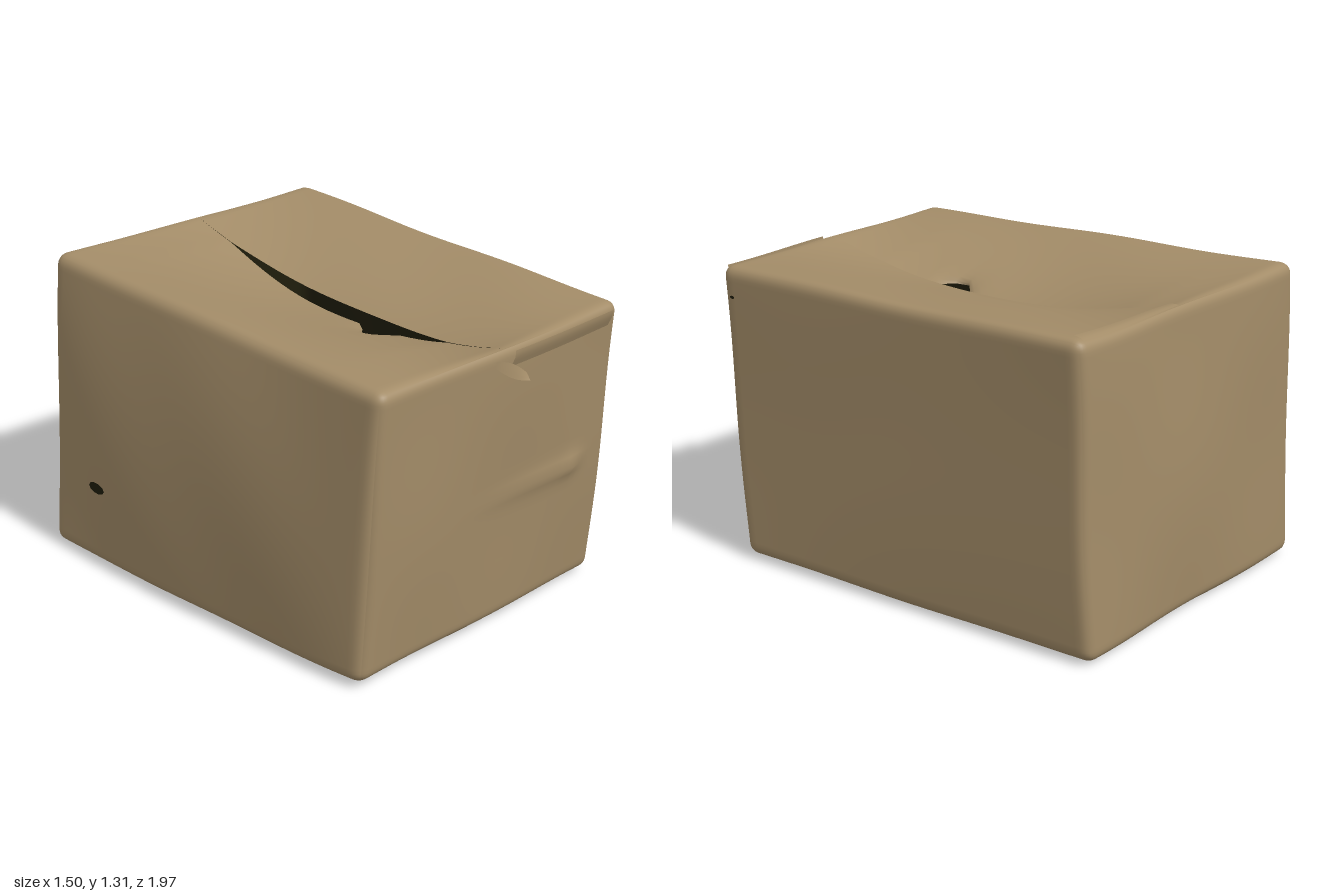
import * as THREE from 'three';
import { mergeVertices } from 'three/addons/utils/BufferGeometryUtils.js';

const N = 48, R = 0.05;
const DIM = [0.7, 0.64, 0.93];
const LEFT = -1, RIGHT = 1;

// Eight box corners, indexed by x + 2y + 4z
const CORNERS = [
  [-0.712, 0.022, -0.99], [0.72, 0.022, -0.93], [-0.625, 1.328, -1.0], [0.757, 1.32, -0.885],
  [-0.7, 0.035, 0.835], [0.703, 0.028, 0.85], [-0.665, 1.265, 0.895], [0.672, 1.28, 0.96],
];

const bell = (v, c, w) => Math.exp(-(((v - c) / w) ** 2));
const ramp = THREE.MathUtils.smoothstep;

// Maps a point of the cube [-1,1]^3 onto the rounded, crumpled carton
function surf(p, face = '', side = RIGHT) {
  const [X, Y, Z] = p;
  const q = p.map((v, i) => THREE.MathUtils.clamp(v * DIM[i], R - DIM[i], DIM[i] - R));
  const d = p.map((v, i) => v * DIM[i] - q[i]);
  const len = Math.hypot(...d) || 1;
  const t = q.map((v, i) => (v + (d[i] / len) * R) / DIM[i]);
  const o = new THREE.Vector3();
  CORNERS.forEach((c, k) => {
    let w = 1;
    for (let i = 0; i < 3; i++) w *= (1 + ((k >> i) & 1 ? t[i] : -t[i])) / 2;
    o.x += c[0] * w; o.y += c[1] * w; o.z += c[2] * w;
  });
  const a = 1 - X * X, b = 1 - Y * Y, c = 1 - Z * Z, mid = 1 - Math.abs(X);

  // Bulging walls and soft crumples
  o.x += X < 0 ? 0.042 * X * c ** 0.7 * (b + 0.35 * (1 - Y)) : 0.01 * X * b * c;
  o.z += a * b * (Z > 0 ? 0.012 : -0.02);
  o.x += 0.005 * Math.sin(5 * o.y + 4 * o.z) * Math.sin(3 * o.z + 1);
  o.y += 0.005 * Math.sin(7 * o.x + 2 * o.z) * Math.sin(5 * o.z + 2);
  o.z += 0.006 * Math.sin(6 * o.x + 1) * Math.sin(5 * o.y + 2);
  // The seam slants across the top
  o.x += (0.022 - 0.028 * Z) * mid * (Y + 1) / 2;

  if (face === 'front') {
    // Raised crease ending in a small knob
    const run = ramp(o.x, -0.2, 0.42) * (1 - ramp(o.x, 0.46, 0.58));
    o.z += 0.018 * run * bell(o.y, 0.61, 0.035) + 0.01 * bell(o.x, 0.45, 0.04) * bell(o.y, 0.62, 0.035);
  }
  if (face === 'top') {
    // Flaps sag towards the seam, which gapes in the middle
    const gap = Math.max(0, 1 - ((Z + 0.04) / 0.7) ** 2);
    o.y -= 0.13 * c ** 0.85 * mid ** 1.3;
    if (side === LEFT) {
      o.y -= (0.036 * gap + 0.004 * c) * mid ** 1.5;
      o.x -= (0.012 * gap + 0.115 * Math.exp(-(((Z - 0.27) / 0.075) ** 4))) * mid ** 8;
    } else {
      o.x += 0.024 * gap * mid ** 6;
    }
  }
  if (face === 'bottom') {
    // Groove between the bottom flaps
    const open = Math.min(1, 4 * c);
    o.y += (side === RIGHT ? 0.016 * mid ** 4 : -0.016 * mid ** 1.5 + 0.032 * mid ** 16) * open;
  }
  return o;
}

// Shell split into named parts; scaled and turned inside out for the lining
function shellParts(scale, inward) {
  const faces = ['leftWall', 'rightWall', 'top', 'bottom', 'front', 'back'];
  const src = new THREE.BoxGeometry(2, 2, 2, N, N, N).toNonIndexed().getAttribute('position');
  const pos = [], tags = [];
  const centre = new THREE.Vector3(0, 0.65, 0);
  for (let i = 0; i < src.count; i += 3) {
    const face = faces[Math.floor(i / (6 * N * N))];
    const side = src.getX(i) + src.getX(i + 1) + src.getX(i + 2) < 0 ? LEFT : RIGHT;
    const split = face === 'top' || face === 'bottom';
    tags.push(split ? face + (side === LEFT ? 'FlapRight' : 'FlapLeft') : face);
    for (const k of inward ? [0, 2, 1] : [0, 1, 2]) {
      // Sine spacing packs rows towards the rounded edges
      const p = [src.getX(i + k), src.getY(i + k), src.getZ(i + k)].map(v => {
        const s = Math.sin(v * Math.PI / 2);
        return Math.abs(s) > 0.99999 ? Math.sign(s) : Math.abs(s) < 1e-5 ? 0 : s;
      });
      const o = surf(p, face, side).sub(centre).multiplyScalar(scale).add(centre);
      pos.push(o.x, o.y, o.z);
    }
  }
  let g = new THREE.BufferGeometry();
  g.setAttribute('position', new THREE.Float32BufferAttribute(pos, 3));
  g = mergeVertices(g, 1e-5);
  g.computeVertexNormals();
  g = g.toNonIndexed();
  const P = g.getAttribute('position').array, M = g.getAttribute('normal').array;
  const parts = {};
  tags.forEach((tag, f) => {
    const e = (parts[tag] ??= { p: [], n: [] });
    for (let j = f * 9; j < f * 9 + 9; j++) { e.p.push(P[j]); e.n.push(M[j]); }
  });
  return Object.entries(parts).map(([name, e]) => {
    const part = new THREE.BufferGeometry();
    part.setAttribute('position', new THREE.Float32BufferAttribute(e.p, 3));
    part.setAttribute('normal', new THREE.Float32BufferAttribute(e.n, 3));
    return [name, part];
  });
}

// Thin sheet whose points come from a rule of u, v in 0..1
function sheet(nu, nv, rule) {
  const g = new THREE.PlaneGeometry(1, 1, nu, nv), p = g.getAttribute('position');
  for (let i = 0; i < p.count; i++) {
    const o = rule(p.getX(i) + 0.5, p.getY(i) + 0.5);
    p.setXYZ(i, o.x, o.y, o.z);
  }
  g.computeVertexNormals();
  return g;
}

export function createModel() {
  const card = new THREE.MeshStandardMaterial({ color: 0xa38c68, side: THREE.DoubleSide });
  card.name = 'cardboard';
  const dark = new THREE.MeshStandardMaterial({ color: 0x1f1d0c });
  dark.name = 'dark interior';
  const model = new THREE.Group();
  model.name = 'cardboardBox';
  const add = (name, geo, mat, parent = model) => {
    const m = new THREE.Mesh(geo, mat);
    m.name = name;
    parent.add(m);
    return m;
  };

  // Outer walls and flaps
  for (const [name, geo] of shellParts(1, false)) add(name, geo, card);

  // Dark inside faces seen through the open seam
  const lining = new THREE.Group();
  lining.name = 'lining';
  model.add(lining);
  for (const [name, geo] of shellParts(0.985, true)) add(name + 'Lining', geo, dark, lining);

  // Folded lip along the back top edge
  add('backFold', sheet(16, 3, (u, v) => {
    const o = surf([0.02 + 0.9 * u, 1, -0.985 + 0.055 * (1 - v)], 'top', RIGHT);
    o.y += 0.002 + 0.005 * (1 - v);
    return o;
  }), card);

  // Edge of the front panel standing slightly proud
  add('frontFold', sheet(16, 4, (u, v) => {
    const o = surf([0.04 + 0.86 * u, 0.86 + 0.13 * v, 1], 'front');
    o.z += 0.003 + 0.03 * v;
    return o;
  }), card);

  // Loose curled tab below the front top edge
  add('frontTab', sheet(8, 4, (u, v) => {
    const x = -0.06 + 0.16 * u, y = 1.215 - 0.085 * u + (v - 0.5) * 0.06 * Math.sin(Math.PI * (0.15 + 0.7 * u));
    const base = surf([x / 0.7, (y - 0.65) / 0.64, 1], 'front');
    return new THREE.Vector3(x, y, base.z + 0.004 + 0.034 * u * (1 - v * 0.6));
  }), card);

  // Small punctures in the side walls
  const punctures = [
    ['rightPuncture', [-1, -0.45, -0.65], 0.05, -1],
    ['leftPuncture', [1, 0.8, 0.935], 0.013, 1],
  ];
  for (const [name, at, radius, dir] of punctures) {
    const spot = add(name, new THREE.CircleGeometry(radius, 10), dark);
    const o = surf(at);
    spot.scale.y = 0.5;
    spot.rotation.y = dir * Math.PI / 2 - 0.04;
    spot.position.set(o.x + dir * 0.006, o.y, o.z);
  }

  return model;
}
